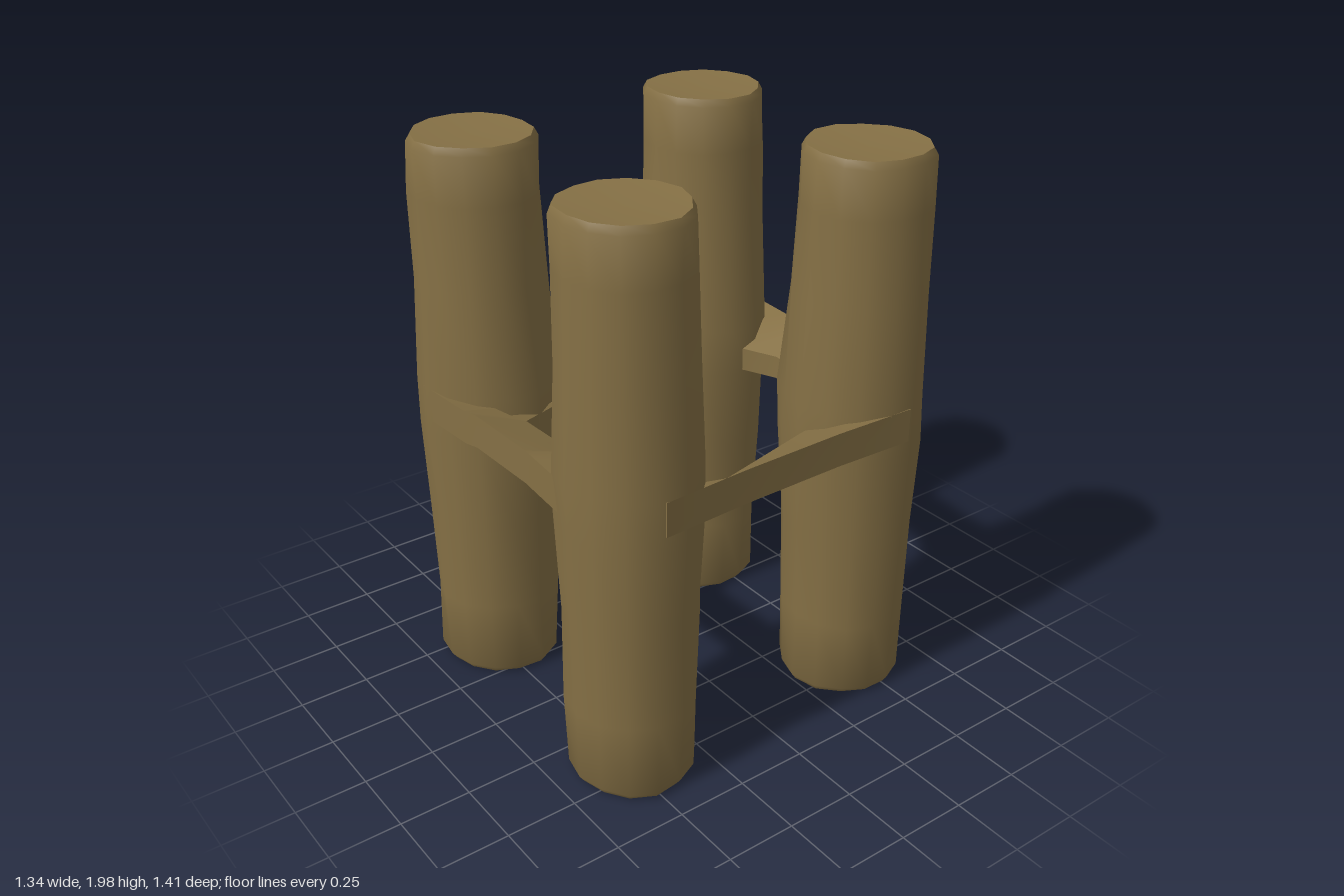
import * as THREE from 'three';
import { toCreasedNormals } from 'three/addons/utils/BufferGeometryUtils.js';

const wood = new THREE.MeshStandardMaterial({ color: 0x857045 });
wood.name = 'brown wood';

// Rough upright log: a worn cylinder that flares along both rails (flareX, flareZ) at mid height
function makePost(x, z, flareX, flareZ, seed) {
  const profile = [
    [0, 0.02], [0.2, 0.012], [0.216, 0.035], [0.22, 0.3], [0.223, 0.65], [0.229, 0.97],
    [0.229, 1.14], [0.222, 1.5], [0.217, 1.8], [0.214, 1.965], [0.2, 1.99], [0, 1.975],
  ].map(([r, y]) => new THREE.Vector2(r, y));
  const geo = new THREE.LatheGeometry(profile, 14);
  const pos = geo.attributes.position;
  for (let i = 0; i < pos.count; i++) {
    const px = pos.getX(i), y = pos.getY(i), pz = pos.getZ(i);
    const r = Math.hypot(px, pz);
    if (r < 0.01) continue;
    const a = Math.atan2(pz, px);
    const towardX = Math.max(-px * Math.sign(x) / r, 0) ** 4;
    const towardZ = Math.max(-pz * Math.sign(z) / r, 0) ** 4;
    const swell = Math.max(0, 1 - Math.abs(y - 1.06) / 0.5);
    const wobble = 0.004 * Math.sin(3 * a + 7 * y + seed) + 0.003 * Math.sin(5 * a - 11 * y + 2 * seed);
    const k = (r + wobble + swell * (0.006 + flareX * towardX + flareZ * towardZ)) / r;
    pos.setXYZ(i, px * k * 1.025, y, pz * k * 0.985);
  }
  const mesh = new THREE.Mesh(toCreasedNormals(geo, 0.9), wood);
  mesh.position.set(x, 0, z);
  return mesh;
}

// Split rail: slanted slab, stations are [along, outer, inner] distances
function makeRail(stations, angle) {
  const n = stations.length - 1;
  const geo = new THREE.BoxGeometry(1, 1, 1, n, 1, 1);
  const pos = geo.attributes.position;
  for (let i = 0; i < pos.count; i++) {
    const [along, outer, inner] = stations[Math.round((pos.getX(i) + 0.5) * n)];
    const top = pos.getY(i) > 0, out = pos.getZ(i) > 0;
    const y = out ? (top ? 1.14 : 1.02) : (top ? 1.06 : 0.975);
    pos.setXYZ(i, along, y, out ? outer : inner);
  }
  const mesh = new THREE.Mesh(toCreasedNormals(geo, 0.6), wood);
  mesh.rotation.y = angle;
  return mesh;
}

export function createModel() {
  const model = new THREE.Group();
  model.name = 'logFrame';

  const posts = [
    ['frontLeftPost', 0.425, 0.468, 0.03, 0.02], ['frontRightPost', -0.425, 0.47, 0.03, 0.03],
    ['backLeftPost', 0.422, -0.465, 0.065, 0.02], ['backRightPost', -0.425, -0.468, 0.03, 0.05],
  ];
  posts.forEach(([name, x, z, flareX, flareZ], i) => {
    const post = makePost(x, z, flareX, flareZ, i * 1.9);
    post.name = name;
    model.add(post);
  });

  const rails = [
    ['frontRail', 0, [[-0.45, 0.7, 0.3], [-0.2, 0.685, 0.31], [-0.15, 0.67, 0.48],
      [0.15, 0.665, 0.47], [0.2, 0.67, 0.38], [0.45, 0.69, 0.3]]],
    ['backRail', Math.PI, [[-0.45, 0.69, 0.27], [-0.28, 0.67, 0.29], [-0.06, 0.66, 0.5],
      [0.04, 0.67, 0.52], [0.16, 0.68, 0.47], [0.45, 0.7, 0.28]]],
    ['leftRail', Math.PI / 2, [[-0.5, 0.67, 0.45], [-0.18, 0.655, 0.55],
      [0.2, 0.65, 0.46], [0.5, 0.66, 0.4]]],
    ['rightRail', -Math.PI / 2, [[-0.5, 0.67, 0.33], [-0.22, 0.64, 0.37],
      [0.2, 0.66, 0.5], [0.5, 0.67, 0.42]]],
  ];
  for (const [name, angle, stations] of rails) {
    const rail = makeRail(stations, angle);
    rail.name = name;
    model.add(rail);
  }
  return model;
}
